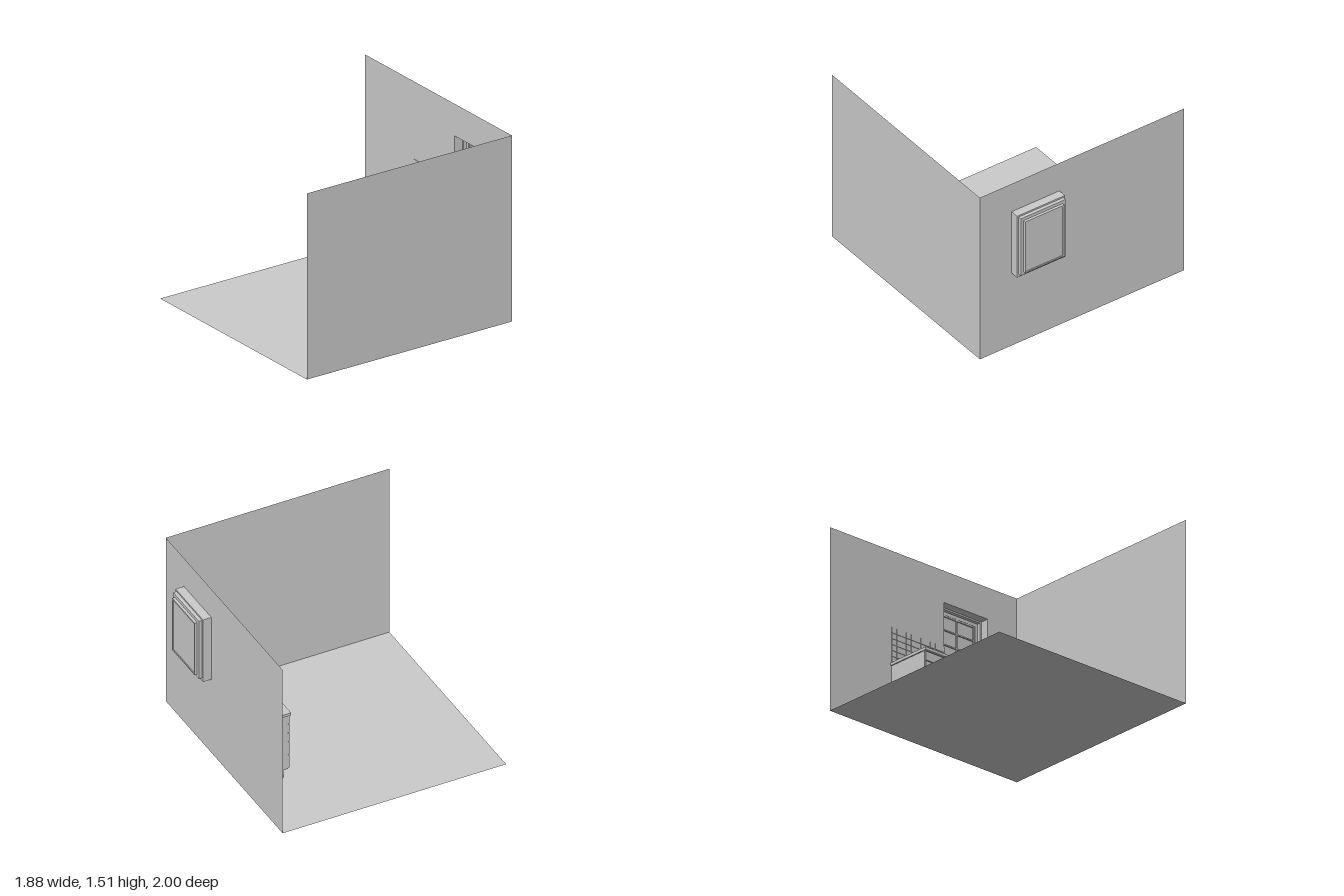
import * as THREE from 'three';

const mat = new THREE.MeshStandardMaterial({ color: 0xcccccc, side: THREE.DoubleSide });

function add(parent, name, geometry, x = 0, y = 0, z = 0) {
  const m = new THREE.Mesh(geometry, mat);
  m.name = name;
  m.position.set(x, y, z);
  parent.add(m);
  return m;
}

// Box given by its extents on each axis
function box(parent, name, x0, x1, y0, y1, z0, z1) {
  return add(parent, name, new THREE.BoxGeometry(x1 - x0, y1 - y0, z1 - z0),
    (x0 + x1) / 2, (y0 + y1) / 2, (z0 + z1) / 2);
}

// Rectangle outline [x0, x1, y0, y1] with optional corner radius
function rect([x0, x1, y0, y1], r = 0, Type = THREE.Shape) {
  const s = new Type();
  if (!r) {
    s.moveTo(x0, y0).lineTo(x1, y0).lineTo(x1, y1).lineTo(x0, y1).closePath();
    return s;
  }
  s.moveTo(x0 + r, y0).lineTo(x1 - r, y0).absarc(x1 - r, y0 + r, r, -Math.PI / 2, 0);
  s.lineTo(x1, y1 - r).absarc(x1 - r, y1 - r, r, 0, Math.PI / 2);
  s.lineTo(x0 + r, y1).absarc(x0 + r, y1 - r, r, Math.PI / 2, Math.PI);
  s.lineTo(x0, y0 + r).absarc(x0 + r, y0 + r, r, Math.PI, Math.PI * 1.5);
  return s;
}

function ring(outer, inner, r0 = 0, r1 = 0) {
  const s = rect(outer, r0);
  s.holes.push(rect(inner, r1, THREE.Path));
  return s;
}

const extrude = (shape, depth) =>
  new THREE.ExtrudeGeometry(shape, { depth, bevelEnabled: false, curveSegments: 6 });

const W = 0.94, H = 1.51, BACK = -0.88;
const STEPS = [[0.207, 0.648, 0.677, 1.25], [0.222, 0.634, 0.705, 1.237], [0.248, 0.608, 0.73, 1.21]];
const DEPTHS = [BACK, -0.95, -0.978, -1];

function createRoom(root) {
  const room = new THREE.Group();
  room.name = 'room';
  add(room, 'floor', new THREE.PlaneGeometry(2 * W, 1 - BACK).rotateX(-Math.PI / 2), 0, 0, (1 + BACK) / 2);
  add(room, 'sideWall', new THREE.PlaneGeometry(1 - BACK, H).rotateY(-Math.PI / 2), W, H / 2, (1 + BACK) / 2);
  add(room, 'backWall', new THREE.ShapeGeometry(ring([-W, W, 0, H], STEPS[0])), 0, 0, BACK);
  root.add(room);
}

function createWindow(root) {
  const win = new THREE.Group();
  win.name = 'window';
  // Stepped recess made of thin sheets
  STEPS.forEach((s, i) => {
    const [x0, x1, y0, y1] = s, d = DEPTHS[i] - DEPTHS[i + 1], z = (DEPTHS[i] + DEPTHS[i + 1]) / 2;
    for (const x of [x0, x1])
      add(win, 'revealSide', new THREE.PlaneGeometry(d, y1 - y0).rotateY(Math.PI / 2), x, (y0 + y1) / 2, z);
    for (const y of [y0, y1])
      add(win, 'revealEdge', new THREE.PlaneGeometry(x1 - x0, d).rotateX(Math.PI / 2), (x0 + x1) / 2, y, z);
    if (i < 2) add(win, 'frameStep', new THREE.ShapeGeometry(ring(s, STEPS[i + 1])), 0, 0, DEPTHS[i + 1]);
  });
  // Sash, pane and glazing bars
  const [x0, x1, y0, y1] = STEPS[2], t = 0.012;
  add(win, 'sash', extrude(ring(STEPS[2], [x0 + t, x1 - t, y0 + t, y1 - t]), 0.02), 0, 0, -1);
  box(win, 'pane', x0, x1, y0, y1, -0.994, -0.99);
  const cx = (x0 + x1) / 2;
  box(win, 'uprightBar', cx - 0.005, cx + 0.005, y0, y1, -0.99, -0.978);
  for (let i = 1; i < 4; i++) {
    const y = y0 + (y1 - y0) * i / 4;
    box(win, 'crossBar', x0, x1, y - 0.005, y + 0.005, -0.99, -0.98);
  }
  root.add(win);
}

function createTiles(root) {
  const tiles = new THREE.Group();
  tiles.name = 'tiles';
  const p = 0.0484, gap = 0.003, thick = 0.004;
  const g = new THREE.BoxGeometry(p - gap, p - gap, thick);
  for (let row = 0; row < 6; row++) {
    const y = 0.592 + p * (row + 0.5);
    for (let i = 0; i < 26; i++) {
      if (row > 0 && i >= 11 && i < 20) continue; // window gap
      add(tiles, 'backTile', g, -0.32 + p * (i + 0.5), y, BACK + thick / 2);
    }
    for (let i = 0; i < 8; i++)
      add(tiles, 'sideTile', g, W - thick / 2, y, BACK + p * (i + 0.5)).rotation.y = -Math.PI / 2;
  }
  root.add(tiles);
}

function createCabinets(root) {
  const cab = new THREE.Group();
  cab.name = 'cabinets';
  const L = -0.32, top = 0.562, front = -0.512;
  box(cab, 'plinth', L, W, 0, 0.07, BACK, -0.55);
  box(cab, 'bottomPanel', L, W, 0.068, 0.08, BACK, front);
  box(cab, 'endPanel', L, L + 0.012, 0.068, top, BACK, front);
  box(cab, 'frontPanel', L, W, 0.068, top, front - 0.01, front);
  // Drawer and door fronts
  const drawers = [0.07, 0.195, 0.315, 0.395, 0.478, 0.557], g = 0.003;
  [1, 0, 0, 1, 0].forEach((hasDrawers, i) => {
    const x = L + 0.251 * i, ys = hasDrawers ? drawers : [0.07, 0.557];
    for (let j = 0; j + 1 < ys.length; j++)
      box(cab, hasDrawers ? 'drawerFront' : 'doorFront',
        x + g, x + 0.251 - g, ys[j] + g, ys[j + 1] - g, front, front + 0.014);
  });
  add(cab, 'drawerLock', new THREE.CylinderGeometry(0.007, 0.007, 0.005, 12).rotateX(Math.PI / 2), 0.555, 0.525, -0.497);
  root.add(cab);
}

function createCounter(root) {
  const counter = new THREE.Group();
  counter.name = 'counter';
  const y = 0.585, hole = [-0.06, 0.166, -0.82, -0.54];
  const grow = (d) => [hole[0] - d, hole[1] + d, hole[2] - d, hole[3] + d];
  add(counter, 'worktop', extrude(ring([-0.33, W, BACK, -0.49], hole, 0, 0.025), 0.023).rotateX(Math.PI / 2), 0, y, 0);
  box(counter, 'board', 0.715, 0.9, y, y + 0.002, -0.85, -0.54);
  // Sink basin and drain
  add(counter, 'basinWall', extrude(ring(grow(0.003), hole, 0.028, 0.025), 0.12).rotateX(Math.PI / 2), 0, y - 0.001, 0);
  add(counter, 'basinFloor', extrude(rect(grow(0.003), 0.028), 0.004).rotateX(Math.PI / 2), 0, y - 0.12, 0);
  add(counter, 'drain', new THREE.TorusGeometry(0.016, 0.003, 6, 20).rotateX(Math.PI / 2), 0.055, y - 0.119, -0.675);
  root.add(counter);

  // Mixer tap with arched spout and side lever
  const tap = new THREE.Group();
  tap.name = 'tap';
  tap.position.set(0.055, y, -0.842);
  add(tap, 'tapBase', new THREE.CylinderGeometry(0.011, 0.012, 0.04, 16), 0, 0.02, 0);
  const path = new THREE.CatmullRomCurve3([[0.03, 0], [0.11, 0], [0.14, 0.015], [0.154, 0.05], [0.142, 0.09], [0.11, 0.108]]
    .map(([h, z]) => new THREE.Vector3(0, h, z)));
  add(tap, 'spout', new THREE.TubeGeometry(path, 24, 0.005, 8));
  add(tap, 'leverHub', new THREE.CylinderGeometry(0.007, 0.007, 0.026, 12).rotateZ(Math.PI / 2), 0.019, 0.026, 0);
  add(tap, 'lever', new THREE.CylinderGeometry(0.003, 0.003, 0.03, 8), 0.028, 0.042, 0);
  root.add(tap);
}

export function createModel() {
  const root = new THREE.Group();
  root.name = 'kitchenCorner';
  createRoom(root);
  createWindow(root);
  createTiles(root);
  createCabinets(root);
  createCounter(root);
  return root;
}
